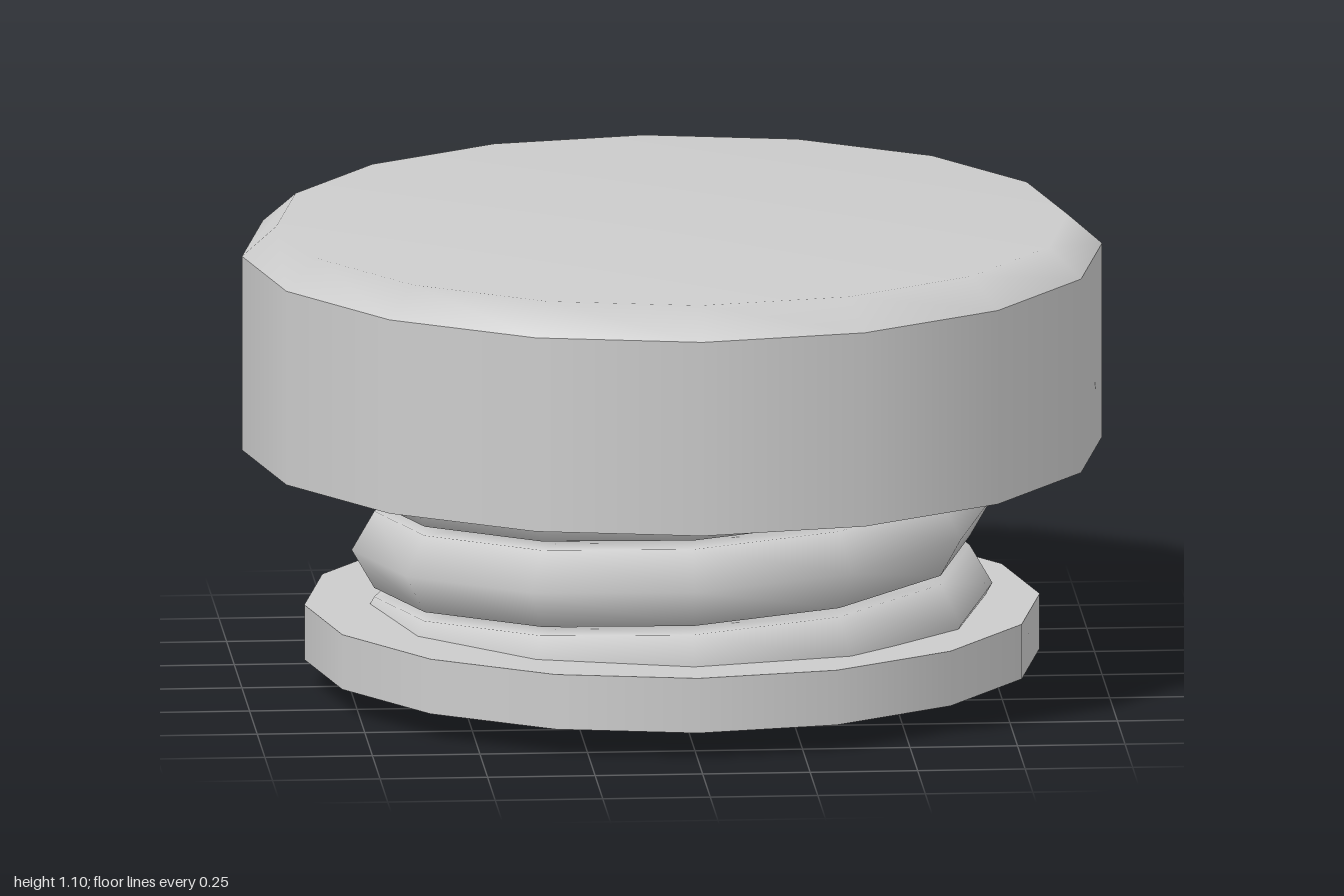
import * as THREE from 'three';

const SIDES = 16;
const material = new THREE.MeshStandardMaterial({ color: 0xcccccc, side: THREE.DoubleSide });

function addMesh(parent, name, geometry) {
  const mesh = new THREE.Mesh(geometry, material);
  mesh.name = name;
  parent.add(mesh);
  return mesh;
}

// Turned surface from [radius, height] points; separate surfaces keep sharp edges
function turned(...points) {
  return new THREE.LatheGeometry(points.map(([r, y]) => new THREE.Vector2(r, y)), SIDES);
}

const COIL = { radius: 0.64, wire: 0.105, wireSides: 6, steps: 12, turns: 3.5 };

// Height of the wire centre after t turns; the first quarter is slightly flattened
function coilHeight(t) {
  return 0.075 + 0.203 * t + 0.035 * Math.max(0, 1 - 4 * t);
}

// Hexagonal wire swept along a helix that starts at the back
function coilGeometry() {
  const { radius, wire, wireSides, steps, turns } = COIL;
  const rings = steps * turns;
  const positions = [];
  const indices = [];
  for (let i = 0; i <= rings; i++) {
    const t = i / steps;
    const angle = t * Math.PI * 2;
    const twist = (Math.PI / 6) * Math.max(0, 1 - 4 * t);
    for (let j = 0; j < wireSides; j++) {
      const a = (j / wireSides) * Math.PI * 2 + twist;
      const r = radius + wire * Math.cos(a);
      positions.push(-r * Math.sin(angle), coilHeight(t) + wire * Math.sin(a), -r * Math.cos(angle));
      if (i < rings) {
        const k = (j + 1) % wireSides;
        const p = i * wireSides + j, q = i * wireSides + k;
        indices.push(p, q, p + wireSides, q, q + wireSides, p + wireSides);
      }
    }
  }
  const geometry = new THREE.BufferGeometry();
  geometry.setAttribute('position', new THREE.Float32BufferAttribute(positions, 3));
  geometry.setIndex(indices);
  geometry.computeVertexNormals();
  return geometry;
}

export function createModel() {
  const model = new THREE.Group();
  model.name = 'springButton';

  // Push cap with a chamfered top edge
  const cap = new THREE.Group();
  cap.name = 'pushCap';
  addMesh(cap, 'capUnderside', turned([0, 0.57], [1, 0.57]));
  addMesh(cap, 'capWall', turned([1, 0.57], [1, 1.03]));
  addMesh(cap, 'capTop', turned([1, 1.03], [0.92, 1.1], [0, 1.1]));
  model.add(cap);

  // Coil spring, with its lower cut end closed
  const spring = new THREE.Group();
  spring.name = 'spring';
  addMesh(spring, 'springCoil', coilGeometry());
  const end = new THREE.CircleGeometry(COIL.wire, COIL.wireSides);
  end.rotateZ(Math.PI / 6).rotateY(Math.PI / 2);
  addMesh(spring, 'springEnd', end).position.set(0, coilHeight(0), -COIL.radius);
  model.add(spring);

  // Base plate: thin dish, open underneath
  const base = new THREE.Group();
  base.name = 'basePlate';
  addMesh(base, 'baseWall', turned([0.855, 0.07], [0.855, 0.2]));
  addMesh(base, 'baseTop', turned([0.855, 0.2], [0, 0.2]));
  model.add(base);

  return model;
}
